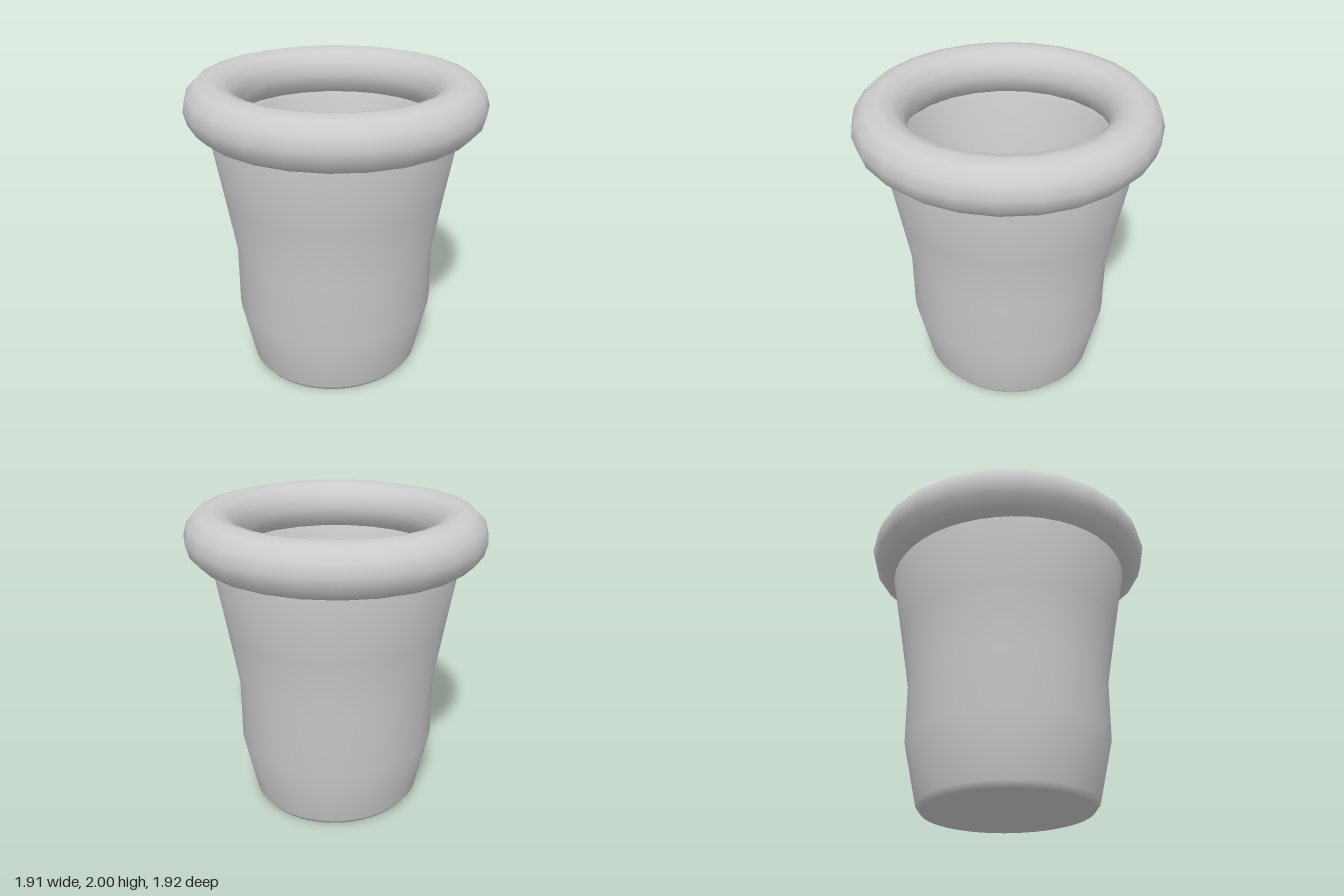
import * as THREE from 'three';

export function createModel() {
  const group = new THREE.Group();
  const material = new THREE.MeshStandardMaterial({ color: 0xcccccc, side: THREE.DoubleSide });

  // Hollow cup: up the outer wall, over the hidden lip, down the inner wall to the floor
  const profile = [
    [0, 0], [0.535, 0], [0.565, 0.04], [0.65, 0.44], [0.65, 0.84], [0.715, 1.24], [0.785, 1.65],
    [0.74, 1.75], [0.69, 1.65], [0.615, 1.24], [0.545, 0.84], [0.545, 0.44], [0.47, 0.1], [0, 0.1],
  ].map(([r, y]) => new THREE.Vector2(r, y));
  const cup = new THREE.Mesh(new THREE.LatheGeometry(profile, 48), material);
  cup.name = 'cup';
  cup.scale.z = 1.05; // slightly deeper than wide
  cup.position.x = -0.005;
  group.add(cup);

  // Thick rolled rim
  const rim = new THREE.Mesh(new THREE.TorusGeometry(0.793, 0.168, 12, 25), material);
  rim.name = 'rim';
  rim.rotation.x = -Math.PI / 2;
  rim.position.y = 1.832;
  group.add(rim);

  return group;
}
